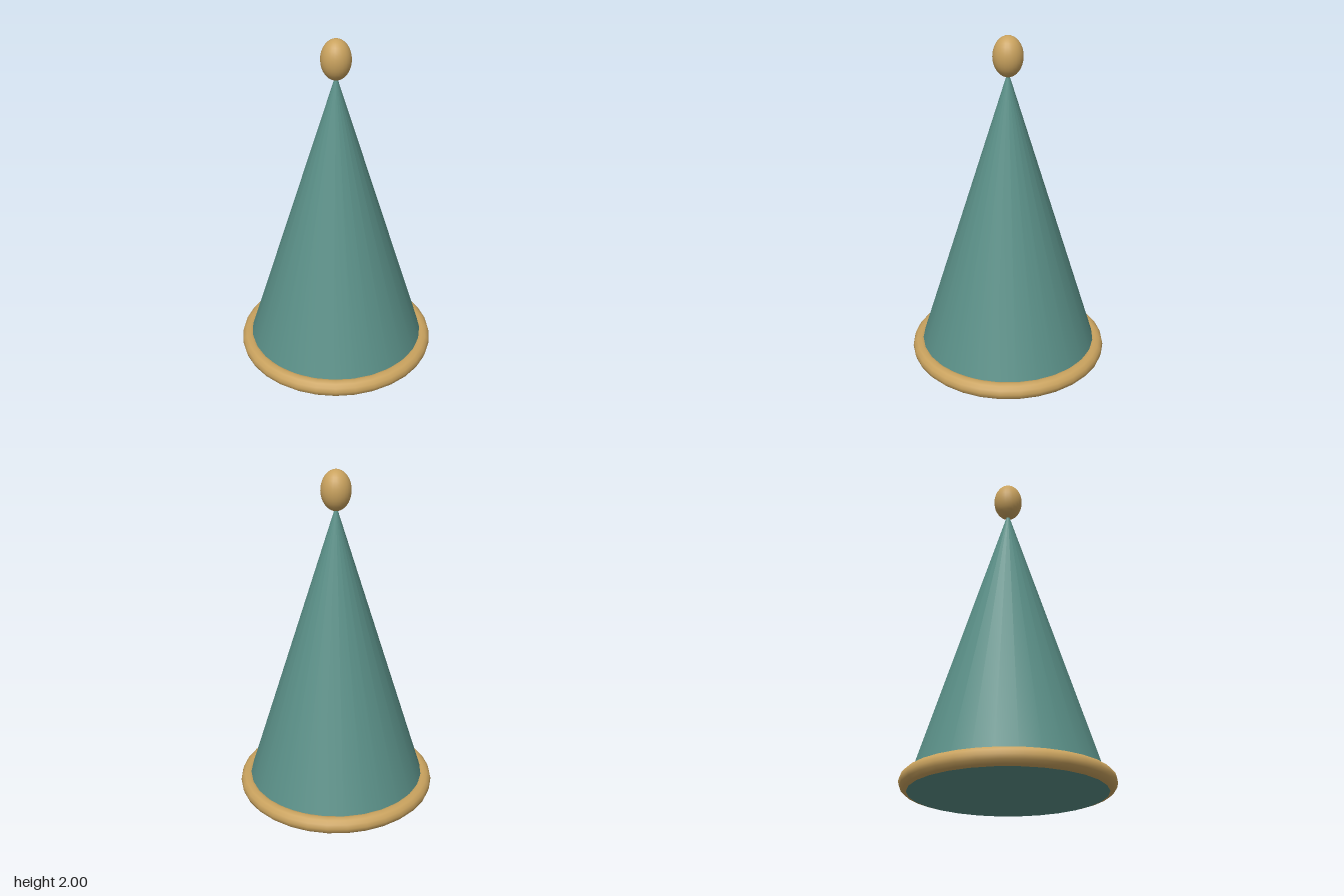
import * as THREE from 'three';

export function createModel() {
  const group = new THREE.Group();
  const teal = new THREE.MeshStandardMaterial({ color: 0x5a8f87 });
  teal.name = 'teal';
  const gold = new THREE.MeshStandardMaterial({ color: 0xc9a25e });
  gold.name = 'gold';

  const add = (name, geometry, material, y) => {
    const mesh = new THREE.Mesh(geometry, material);
    mesh.name = name;
    mesh.position.y = y;
    group.add(mesh);
    return mesh;
  };

  // Tall cone, its lower edge buried in the rim
  add('cone', new THREE.ConeGeometry(0.55, 1.75, 28, 1, true), teal, 0.925);

  // Flat underside, level with the bottom of the rim
  add('underside', new THREE.CircleGeometry(0.555, 28).rotateX(Math.PI / 2), teal, 0);

  // Rounded rim around the base
  add('rim', new THREE.TorusGeometry(0.55, 0.05, 12, 32).rotateX(Math.PI / 2), gold, 0.05);

  // Egg-shaped finial over the tip
  add('finial', new THREE.SphereGeometry(0.0875, 24, 16).scale(1, 1.343, 1), gold, 1.8825);

  return group;
}
